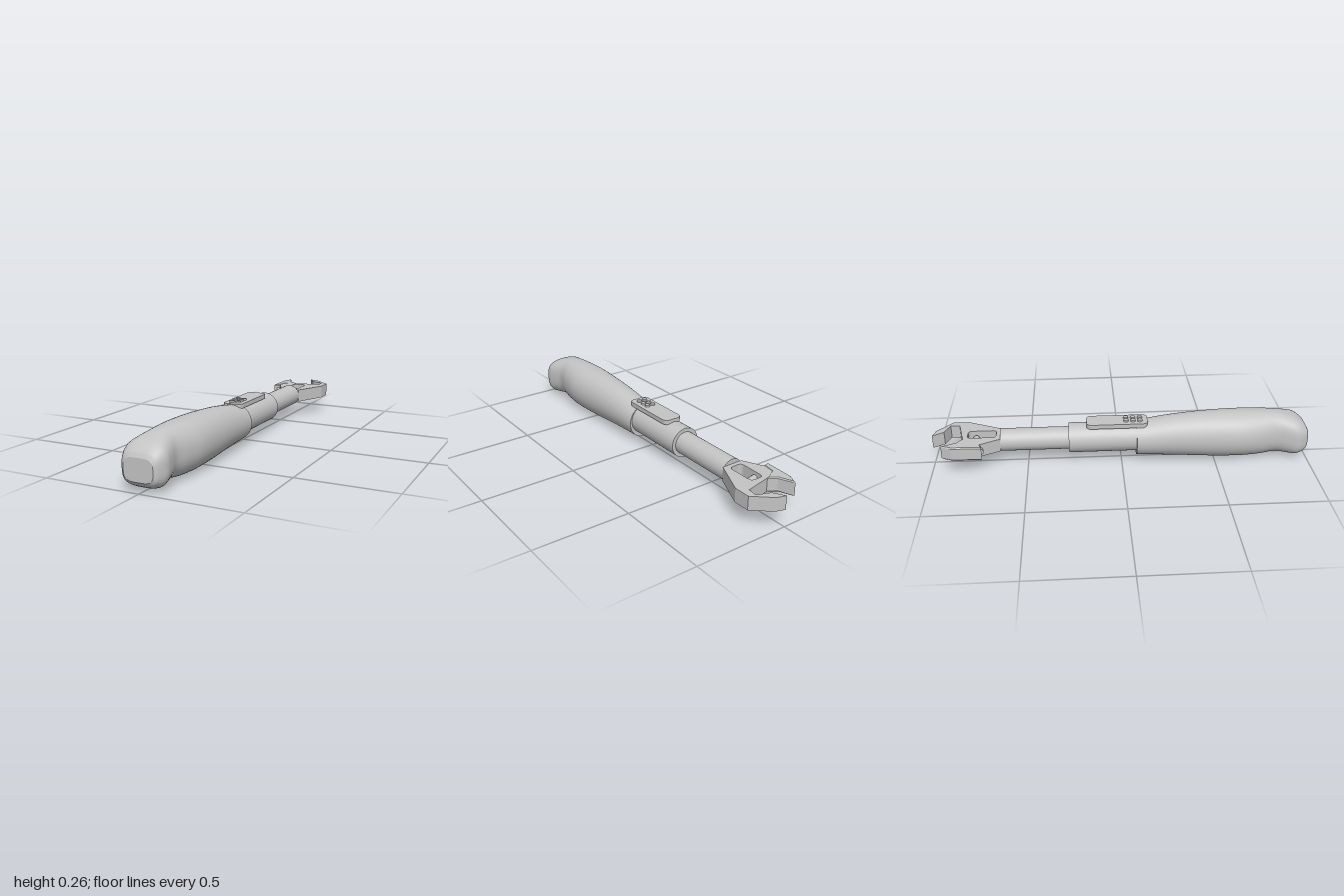
import * as THREE from 'three';

const AXIS_Y = 0.129;

export function createModel() {
  const root = new THREE.Group();
  root.name = 'adjustableWrench';
  const grey = new THREE.MeshStandardMaterial({ color: 0xc4c4c4 });
  grey.name = 'plainGrey';

  const add = (name, geometry, parent = root) => {
    const mesh = new THREE.Mesh(geometry, grey);
    mesh.name = name;
    parent.add(mesh);
    return mesh;
  };

  // Horizontal plate from an [x, z] outline, standing between two heights
  const plate = (shape, bottom, top, bevel = 0) => {
    const g = new THREE.ExtrudeGeometry(shape, {
      depth: top - bottom - 2 * bevel, bevelEnabled: bevel > 0, bevelThickness: bevel,
      bevelSize: bevel, bevelOffset: -bevel, bevelSegments: 1, curveSegments: 8,
    });
    return g.rotateX(-Math.PI / 2).translate(0, bottom + bevel, 0);
  };
  const outline = (pts) => new THREE.Shape(pts.map(([x, z]) => new THREE.Vector2(x, -z)));

  // Rounded rectangle path in plan
  const roundedRect = (path, x0, x1, z0, z1, r) => {
    const [a, b] = [-z1, -z0];
    path.moveTo(x0 + r, a).lineTo(x1 - r, a).quadraticCurveTo(x1, a, x1, a + r);
    path.lineTo(x1, b - r).quadraticCurveTo(x1, b, x1 - r, b);
    path.lineTo(x0 + r, b).quadraticCurveTo(x0, b, x0, b - r);
    path.lineTo(x0, a + r).quadraticCurveTo(x0, a, x0 + r, a);
    return path;
  };

  // Grip cross-sections: z, half width, bottom, top, squareness
  const sections = [
    [1.0, 0.075, 0.053, 0.163, 3.6],
    [0.985, 0.093, 0.034, 0.188, 3.3],
    [0.94, 0.111, 0.015, 0.222, 3.0],
    [0.89, 0.104, 0.018, 0.239, 2.7],
    [0.83, 0.093, 0.022, 0.252, 2.4],
    [0.75, 0.107, 0.009, 0.258, 2.2],
    [0.64, 0.12, 0.003, 0.26, 2.1],
    [0.48, 0.113, 0.004, 0.257, 2.05],
    [0.28, 0.101, 0.015, 0.242, 2],
    [0.08, 0.09, 0.024, 0.212, 2],
  ];
  const SIDES = 56, STEPS = 5;
  const smooth = (j, k) => {
    const n = sections.length - 1;
    const i = Math.min(Math.floor(j / STEPS), n - 1), t = j / STEPS - i;
    const at = (m) => sections[Math.max(0, Math.min(n, m))];
    const slope = (m) => {
      const p = at(m - 1), q = at(m + 1);
      return (q[k] - p[k]) / (q[0] - p[0]);
    };
    const a = at(i), b = at(i + 1), h = b[0] - a[0];
    if (k === 0) return a[0] + h * t;
    const t2 = t * t, t3 = t2 * t;
    return (2 * t3 - 3 * t2 + 1) * a[k] + (t3 - 2 * t2 + t) * h * slope(i)
      + (3 * t2 - 2 * t3) * b[k] + (t3 - t2) * h * slope(i + 1);
  };
  const ring = (j) => {
    const [z, w, lo, hi, n] = [0, 1, 2, 3, 4].map((k) => smooth(j, k));
    return Array.from({ length: SIDES }, (_, i) => {
      const c = Math.cos((i / SIDES) * 2 * Math.PI), s = Math.sin((i / SIDES) * 2 * Math.PI);
      const r = (Math.abs(c) ** n + Math.abs(s) ** n) ** (-1 / n);
      return new THREE.Vector3(w * r * c, (lo + hi) / 2 + ((hi - lo) / 2) * r * s, z);
    });
  };
  const last = (sections.length - 1) * STEPS;
  const points = [], index = [];
  for (let j = 0; j <= last; j++) {
    points.push(...ring(j));
    for (let i = 0; i < SIDES && j < last; i++) {
      const a = j * SIDES + i, b = j * SIDES + ((i + 1) % SIDES);
      index.push(a, a + SIDES, b, b, a + SIDES, b + SIDES);
    }
  }
  const grip = new THREE.BufferGeometry().setFromPoints(points);
  grip.setIndex(index);
  grip.computeVertexNormals();
  add('grip', grip);

  // Flat faces closing the grip
  const flatEnd = (j) => new THREE.ShapeGeometry(
    new THREE.Shape(ring(j).map((p) => new THREE.Vector2(p.x, p.y))));
  add('gripButt', flatEnd(0).translate(0, 0, 1));
  const collar = flatEnd(last);
  const turned = collar.index.array;
  for (let i = 0; i < turned.length; i += 3) {
    [turned[i], turned[i + 1]] = [turned[i + 1], turned[i]];
  }
  collar.computeVertexNormals();
  add('gripCollar', collar.translate(0, 0, 0.08));

  // Sleeve and shaft along z
  const rod = (r, z0, z1) => new THREE.CylinderGeometry(r, r, z1 - z0, 40)
    .rotateX(Math.PI / 2).translate(0, AXIS_Y, (z0 + z1) / 2);
  add('sleeve', rod(0.08, -0.28, 0.12));
  add('shaft', rod(0.06, -0.64, -0.26));

  // Control plate with six small buttons
  const control = new THREE.Group();
  control.name = 'controlPanel';
  root.add(control);
  add('controlPlate', plate(roundedRect(new THREE.Shape(), -0.053, 0.053, -0.185, 0.14, 0.032),
    0.202, 0.226), control);
  for (const x of [-0.017, 0.017]) {
    for (const z of [0.025, 0.062, 0.099]) {
      add('button', new THREE.CylinderGeometry(0.013, 0.014, 0.012, 12)
        .translate(x, 0.229, z), control);
    }
  }

  // Head with fixed jaw and open slot
  const head = new THREE.Group();
  head.name = 'head';
  root.add(head);
  const body = outline([
    [0, -1], [0.05, -0.985], [0.14, -0.905], [0.14, -0.82], [0.058, -0.64], [-0.058, -0.64],
    [-0.132, -0.79], [-0.115, -0.82], [0.1, -0.866], [0.105, -0.915], [0.035, -0.942],
  ]);
  body.holes.push(roundedRect(new THREE.Path(), -0.036, 0.036, -0.812, -0.662, 0.022));
  add('fixedJaw', plate(body, 0.092, 0.164), head);

  // Sliding jaw and its guide rod
  const slider = outline([
    [-0.115, -0.94], [-0.14, -0.885], [-0.143, -0.73], [-0.108, -0.738],
    [-0.1, -0.8], [-0.04, -0.836], [-0.08, -0.865],
  ]);
  add('slidingJaw', plate(slider, 0.09, 0.166, 0.006), head);
  add('guideRod', new THREE.CylinderGeometry(0.018, 0.018, 0.15, 16)
    .rotateZ(Math.PI / 2).rotateY(0.22).translate(-0.053, AXIS_Y, -0.755), head);

  return root;
}
